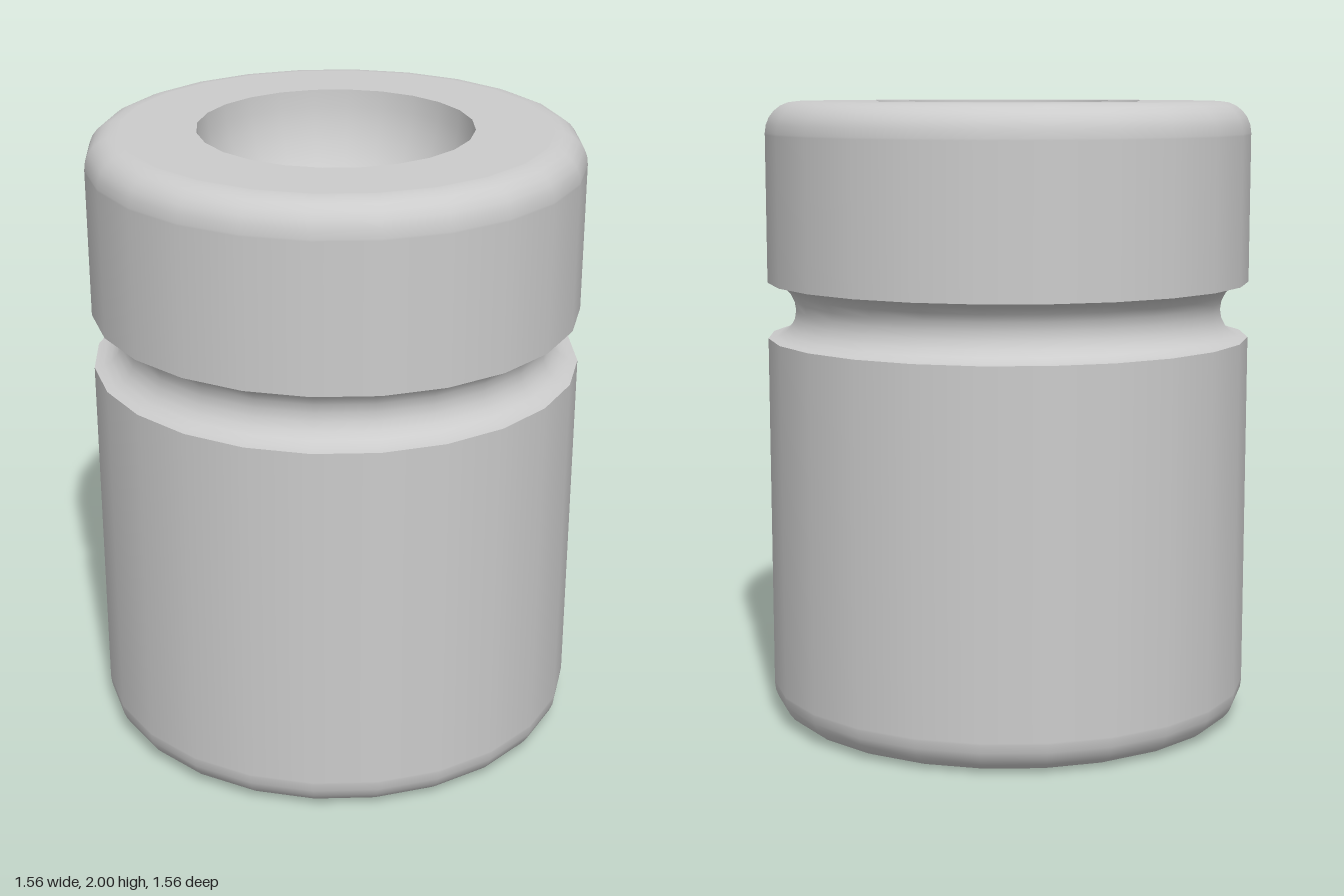
import * as THREE from 'three';

const SIDES = 24;
const R = 0.78, FILLET = 0.1, HEIGHT = 2;
const GROOVE_Y = 1.335, GROOVE_R = 0.09;
const BOWL_R = 0.433;

// Points along an arc in the (radius, height) plane, angles in degrees
function arc(cx, cy, r, from, to, steps) {
  return Array.from({ length: steps + 1 }, (_, i) => {
    const a = THREE.MathUtils.degToRad(from + ((to - from) * i) / steps);
    return new THREE.Vector2(Math.max(0, cx + r * Math.cos(a)), cy + r * Math.sin(a));
  });
}

export function createModel() {
  const group = new THREE.Group();
  const material = new THREE.MeshStandardMaterial({ color: 0xcccccc });
  const p = (r, y) => new THREE.Vector2(r, y);

  // Each section is its own lathe, so the edges between sections stay sharp
  const addSection = (name, points) => {
    const mesh = new THREE.Mesh(new THREE.LatheGeometry(points, SIDES), material);
    mesh.name = name;
    group.add(mesh);
  };

  const inner = R - FILLET;
  const hold = 0.006; // extra loops keep the flats and walls evenly shaded

  // Closed base, rounded lower edge and wall up to the groove
  addSection('lowerBody', [
    p(0, 0), p(inner - hold, 0),
    ...arc(inner, FILLET, FILLET, -90, 0, 6),
    p(R, FILLET + hold), p(R, GROOVE_Y - GROOVE_R),
  ]);

  // Half-round groove cut into the wall
  addSection('groove', arc(R, GROOVE_Y, GROOVE_R, 270, 90, 10));

  // Upper wall, rounded top edge and flat rim
  addSection('upperCollar', [
    p(R, GROOVE_Y + GROOVE_R), p(R, HEIGHT - FILLET - hold),
    ...arc(inner, HEIGHT - FILLET, FILLET, 0, 90, 6),
    p(inner - hold, HEIGHT), p(BOWL_R, HEIGHT),
  ]);

  // Hemispherical hollow in the top
  addSection('bowl', arc(0, HEIGHT, BOWL_R, 0, -90, 12));

  return group;
}
